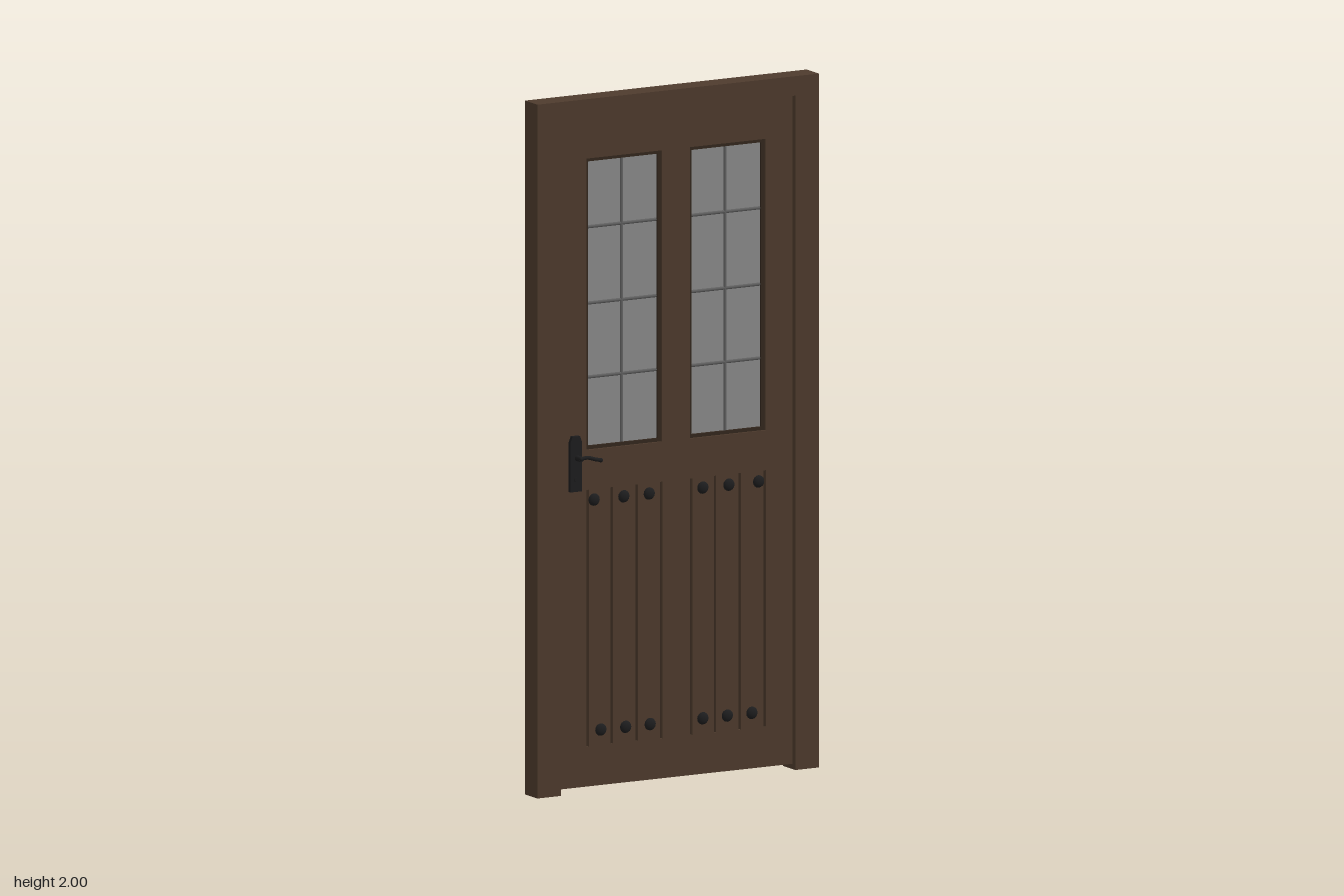
import * as THREE from 'three';

const mat = (name, color, side = THREE.FrontSide) => {
  const m = new THREE.MeshStandardMaterial({ color, side });
  m.name = name;
  return m;
};

export function createModel() {
  const wood = mat('brown wood', 0x4e3b2d);
  const darkWood = mat('dark wood', 0x33271d);
  const glassGrey = mat('grey glass', 0x8b8b8b);
  const barGrey = mat('grey glazing bar', 0x626262);
  const iron = mat('black iron', 0x1d1d1e);

  const door = new THREE.Group();
  door.name = 'door';
  const add = (name, geo, material, x = 0, y = 0, z = 0, parent = door) => {
    const mesh = new THREE.Mesh(geo, material);
    mesh.name = name;
    mesh.position.set(x, y, z);
    parent.add(mesh);
    return mesh;
  };
  const polygon = (pts, Type = THREE.Shape) => new Type(pts.map(p => new THREE.Vector2(...p)));
  const rect = (x0, y0, x1, y1, Type) => polygon([[x0, y0], [x1, y0], [x1, y1], [x0, y1]], Type);
  // slab centred on z = 0
  const slab = (shape, depth) =>
    new THREE.ExtrudeGeometry(shape, { depth, bevelEnabled: false }).translate(0, 0, -depth / 2);

  // outer frame: two jambs and a head
  add('frame', slab(polygon([[-0.46, 0], [-0.383, 0], [-0.383, 1.944], [0.383, 1.944],
    [0.383, 0], [0.46, 0], [0.46, 2], [-0.46, 2]]), 0.07), wood);

  // leaf with window openings and plank grooves
  const half = 0.018, y0 = 0.985, y1 = 1.825;
  const windows = [[-0.29, -0.043], [0.048, 0.295]];
  const grooves = [[-0.286, -0.207, -0.125, -0.046], [0.052, 0.13, 0.211, 0.293]];
  const leaf = rect(-0.383, 0.015, 0.383, 1.944);
  windows.forEach(([a, b]) => leaf.holes.push(rect(a, y0, b, y1, THREE.Path)));
  grooves.flat().forEach(x => leaf.holes.push(rect(x - 0.004, 0.13, x + 0.004, 0.87, THREE.Path)));
  add('leaf', slab(leaf, half * 2), wood);

  // core seen at the bottom of the grooves
  grooves.forEach(g => add('grooveCore',
    new THREE.BoxGeometry(g[3] - g[0] + 0.02, 0.76, 0.018), darkWood, (g[0] + g[3]) / 2, 0.5, 0));

  // windows: dark rebate, glass and glazing bars
  windows.forEach(([a, b]) => {
    const w = new THREE.Group();
    w.name = 'window';
    door.add(w);
    const cx = (a + b) / 2, cy = (y0 + y1) / 2, t = 0.01;
    const rebate = rect(a, y0, b, y1);
    rebate.holes.push(rect(a + t, y0 + t, b - t, y1 - t, THREE.Path));
    add('rebate', slab(rebate, 0.022), darkWood, 0, 0, 0, w);
    add('glass', new THREE.BoxGeometry(b - a - t, y1 - y0 - t, 0.006), glassGrey, cx, cy, 0, w);
    const upright = new THREE.CylinderGeometry(0.006, 0.006, y1 - y0 - 2 * t, 8);
    add('verticalBar', upright, barGrey, cx, cy, 0, w);
    [1.192, 1.405, 1.625].forEach(y =>
      add('horizontalBar', new THREE.CylinderGeometry(0.006, 0.006, b - a - 2 * t, 8).rotateZ(Math.PI / 2),
        barGrey, cx, y, 0, w));
  });

  // domed studs on both faces
  const studGeo = new THREE.SphereGeometry(0.018, 16, 6, 0, Math.PI * 2, 0, Math.PI / 2)
    .rotateX(Math.PI / 2).scale(1, 1, 0.55);
  const studRows = [
    [0.84, [-0.265, -0.168, -0.085, 0.09, 0.175, 0.272]],
    [0.175, [-0.243, -0.162, -0.082, 0.09, 0.17, 0.25]],
  ];
  for (const s of [1, -1]) {
    studRows.forEach(([y, xs]) => xs.forEach(x => {
      add('stud', studGeo, iron, x, y, s * half).rotation.y = s > 0 ? 0 : Math.PI;
    }));
  }

  // handle sets: stepped plate, spindle and curved lever
  const plate = polygon([[-0.348, 0.87], [-0.31, 0.87], [-0.31, 1.012], [-0.317, 1.03],
    [-0.341, 1.03], [-0.348, 1.012]]);
  for (const s of [1, -1]) {
    const handle = new THREE.Group();
    handle.name = s > 0 ? 'frontHandle' : 'backHandle';
    door.add(handle);
    add('plate', slab(plate, 0.012), iron, 0, 0, s * 0.023, handle);
    add('keyhole', new THREE.CylinderGeometry(0.007, 0.007, 0.004, 12).rotateX(Math.PI / 2),
      iron, -0.329, 0.905, s * 0.03, handle);
    add('spindle', new THREE.CylinderGeometry(0.008, 0.008, 0.028, 12).rotateX(Math.PI / 2),
      iron, -0.326, 0.967, s * 0.038, handle);
    const path = new THREE.CatmullRomCurve3([[-0.327, 0.968], [-0.305, 0.97], [-0.28, 0.963], [-0.262, 0.959]]
      .map(([x, y]) => new THREE.Vector3(x, y, s * 0.051)));
    add('lever', new THREE.TubeGeometry(path, 16, 0.0055, 8), iron, 0, 0, 0, handle);
    for (const p of [path.getPoint(0), path.getPoint(1)]) {
      add('leverEnd', new THREE.SphereGeometry(0.0065, 10, 8), iron, p.x, p.y, p.z, handle);
    }
  }
  return door;
}
